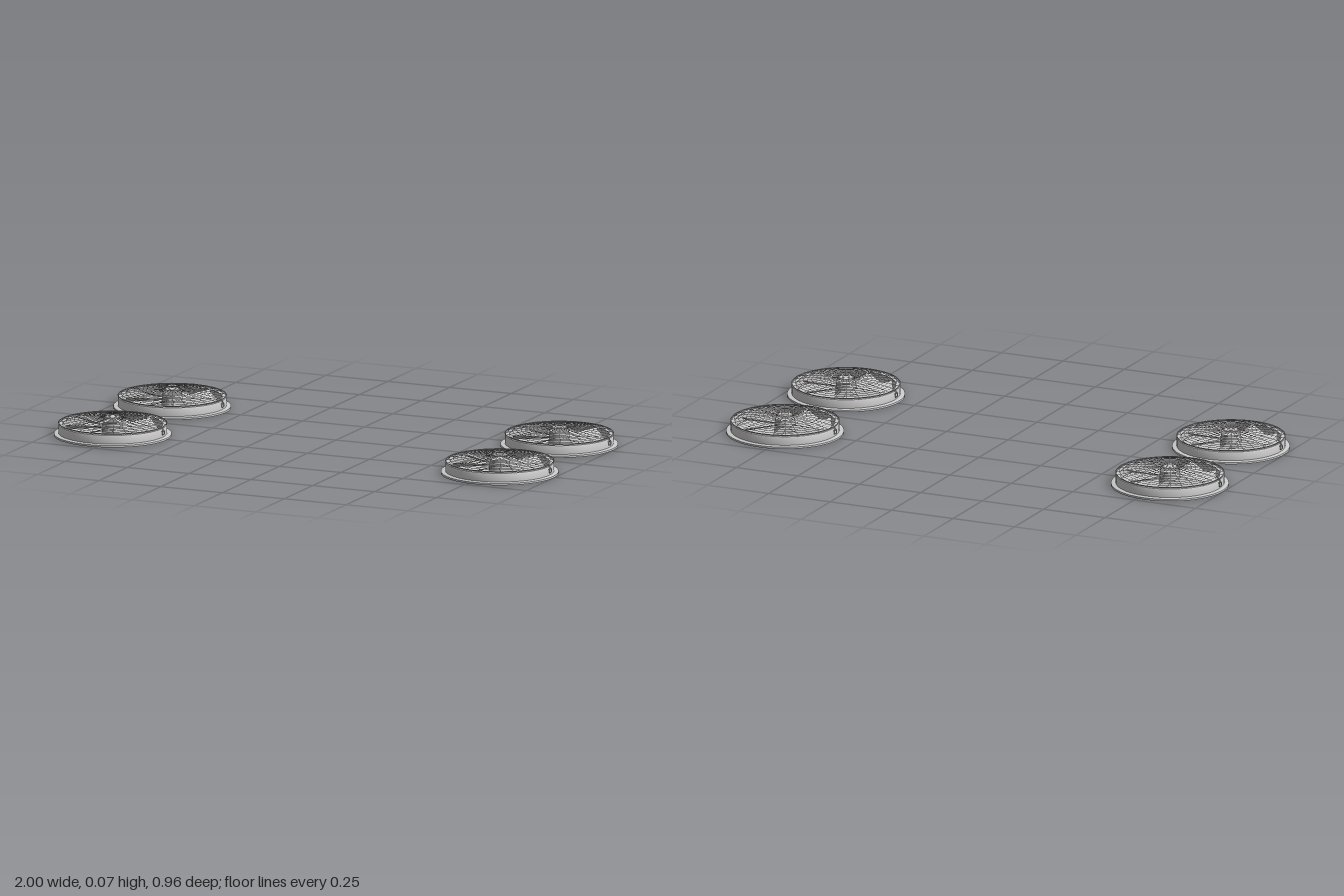
import * as THREE from 'three';
import { mergeGeometries, toCreasedNormals } from 'three/addons/utils/BufferGeometryUtils.js';

// Height of the guard dome at radius r
const domeY = (r) => 0.049 + 0.019 * (1 - (r / 0.198) ** 2);

const lathe = (pts) => toCreasedNormals(
  new THREE.LatheGeometry(pts.map(([r, y]) => new THREE.Vector2(r, y)), 64), 0.6);

const ring = (r, y, thick) =>
  new THREE.TorusGeometry(r, thick, 4, 56).rotateX(Math.PI / 2).translate(0, y, 0);

// Concentric rings and radial spokes of the wire guard
function guardGeometry() {
  const parts = [ring(0.199, 0.047, 0.002)];
  for (let i = 0; i < 11; i++) {
    const r = 0.036 + i * 0.015;
    parts.push(ring(r, domeY(r), 0.0009));
  }
  const pts = [0.02, 0.08, 0.14, 0.198].map((r) => new THREE.Vector3(r, domeY(r), 0));
  const spoke = new THREE.TubeGeometry(new THREE.CatmullRomCurve3(pts), 8, 0.0009, 4);
  const post = new THREE.CylinderGeometry(0.0012, 0.0012, 0.01, 4).translate(0.198, 0.044, 0);
  for (let i = 0; i < 28; i++) {
    const a = (i / 28) * Math.PI * 2;
    parts.push(spoke.clone().rotateY(a));
    if (i % 2 === 0) parts.push(post.clone().rotateY(a));
  }
  return mergeGeometries(parts);
}

// One pitched blade that widens towards its tip
function bladeGeometry() {
  const g = new THREE.PlaneGeometry(0.135, 1, 5, 3).rotateX(-Math.PI / 2);
  const p = g.attributes.position;
  for (let i = 0; i < p.count; i++) {
    const r = p.getX(i) + 0.1025;
    const z = p.getZ(i) * (0.022 + (r - 0.035) * 0.32);
    p.setXYZ(i, r, 0.03 - 0.45 * z, z);
  }
  g.computeVertexNormals();
  return g;
}

// Small latch with a wire loop on the drum wall
function latchGeometry() {
  const loop = new THREE.CatmullRomCurve3([
    [0.202, 0.046, 0], [0.204, 0.038, 0.002], [0.205, 0.032, 0.009], [0.205, 0.02, 0.009],
    [0.205, 0.02, -0.009], [0.205, 0.032, -0.009], [0.204, 0.038, -0.002],
  ].map((v) => new THREE.Vector3(...v)), true, 'catmullrom', 0.2);
  return mergeGeometries([
    new THREE.TubeGeometry(loop, 40, 0.0015, 4, true),
    new THREE.BoxGeometry(0.004, 0.004, 0.014).translate(0.202, 0.032, 0),
  ]);
}

export function createModel() {
  const model = new THREE.Group();
  model.name = 'fanSet';

  const metal = new THREE.MeshStandardMaterial({ color: 0xcccccc, side: THREE.DoubleSide });
  metal.name = 'lightGreyMetal';

  // Parts shared by all four fans
  const shared = {
    flange: lathe([[0.194, 0], [0.217, 0], [0.217, 0.007], [0.21, 0.009],
      [0.194, 0.009], [0.194, 0]]),
    // Drum wall with a lip turned inwards at the top
    drum: lathe([[0.2, 0.008], [0.2, 0.037], [0.198, 0.041], [0.184, 0.041],
      [0.184, 0.039], [0.194, 0.037], [0.194, 0.008]]),
    backPlate: new THREE.CylinderGeometry(0.186, 0.186, 0.004, 64).translate(0, 0.007, 0),
    motorHub: new THREE.CylinderGeometry(0.036, 0.04, 0.044, 32).translate(0, 0.031, 0),
    wireGuard: guardGeometry(),
    guardCap: new THREE.CylinderGeometry(0.025, 0.028, 0.003, 32).translate(0, 0.0685, 0),
    capRing: ring(0.028, 0.0685, 0.0015),
    capInnerRing: ring(0.014, 0.07, 0.001),
  };
  const blade = bladeGeometry();
  const latch = latchGeometry();

  const add = (parent, name, geo) => {
    const m = new THREE.Mesh(geo, metal);
    m.name = name;
    parent.add(m);
    return m;
  };

  for (const x of [-0.783, 0.783]) {
    for (const z of [-0.262, 0.262]) {
      const fan = new THREE.Group();
      fan.name = (z > 0 ? 'front' : 'back') + (x > 0 ? 'Left' : 'Right') + 'Fan';
      fan.position.set(x, 0, z);
      for (const [name, geo] of Object.entries(shared)) add(fan, name, geo);
      for (let i = 0; i < 7; i++) {
        add(fan, 'blade', blade).rotation.y = (i / 7) * Math.PI * 2;
      }
      for (const a of [0, Math.PI]) add(fan, 'latch', latch).rotation.y = a;
      model.add(fan);
    }
  }
  return model;
}
